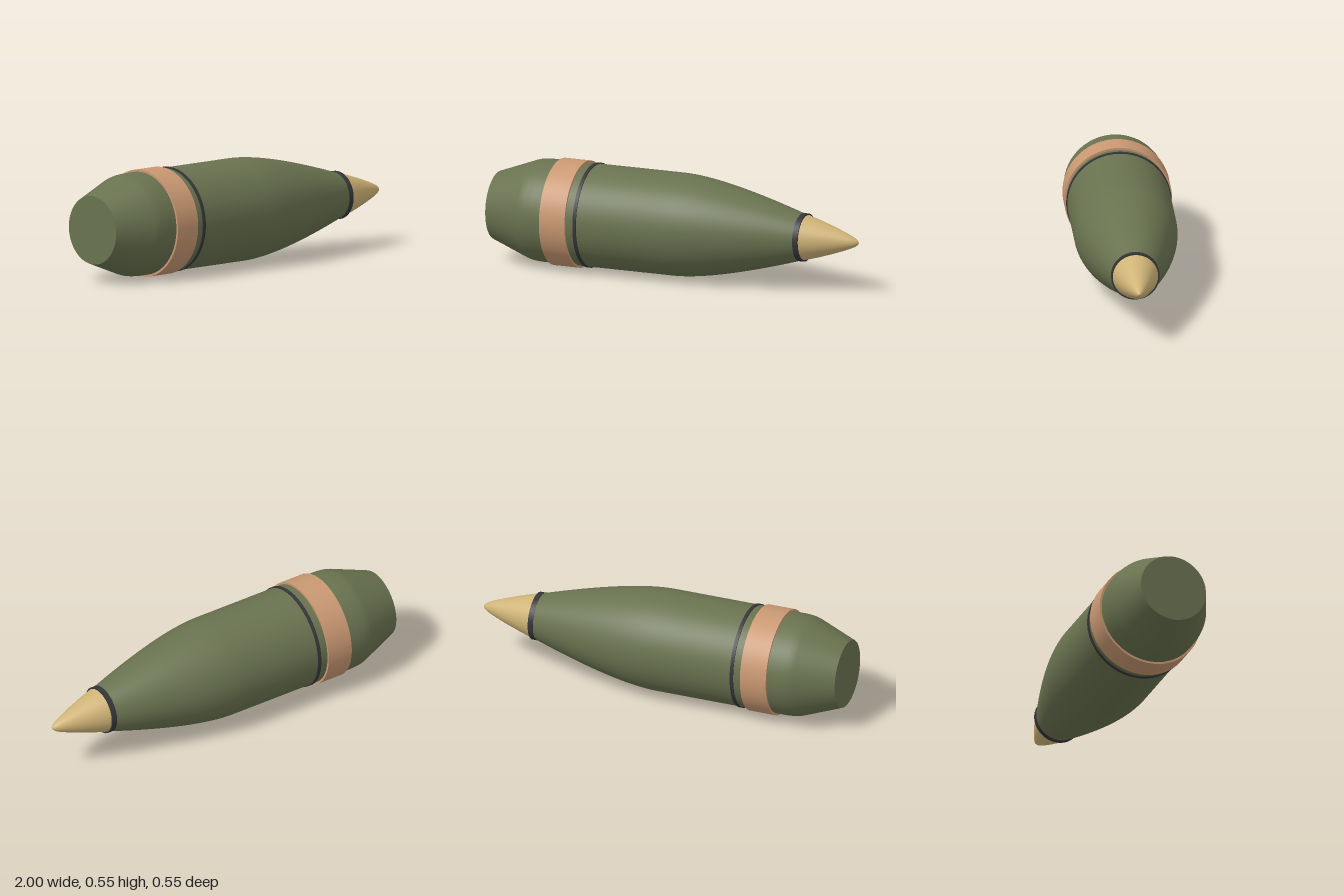
import * as THREE from 'three';

const SEGMENTS = 96;
const AXIS_HEIGHT = 0.276;

export function createModel() {
  const model = new THREE.Group();
  model.name = 'shell';

  const paint = (name, color) => {
    const m = new THREE.MeshStandardMaterial({ color });
    m.name = name;
    return m;
  };
  const olive = paint('olive green', 0x69724f);
  const copper = paint('copper', 0xc99872);
  const brass = paint('brass', 0xcfb377);
  const dark = paint('dark steel', 0x36363a);

  // Turns a profile of [x, radius] points about the long axis
  const turn = (name, profile, material, parent = model) => {
    const points = profile.map(([x, r]) => new THREE.Vector2(r, x));
    const mesh = new THREE.Mesh(new THREE.LatheGeometry(points, SEGMENTS), material);
    mesh.geometry.rotateZ(-Math.PI / 2);
    mesh.name = name;
    parent.add(mesh);
  };

  // Raised ring with crisp edges: a wall and two end faces
  const ring = (name, x0, x1, radius, inner, material) => {
    const group = new THREE.Group();
    group.name = name;
    turn(name + 'Rear', [[x0, inner], [x0, radius]], material, group);
    turn(name + 'Wall', [[x0, radius], [x1, radius]], material, group);
    turn(name + 'Front', [[x1, radius], [x1, inner]], material, group);
    model.add(group);
  };

  // Body: tapered tail, straight middle and curved forward section
  const ogive = new THREE.QuadraticBezierCurve(
    new THREE.Vector2(0, 0.265),
    new THREE.Vector2(0.22, 0.265),
    new THREE.Vector2(0.7, 0.117)
  ).getPoints(24).map((p) => [p.x, p.y]);
  turn('base', [[-1, 0], [-1, 0.177]], olive);
  turn('tail', [[-1, 0.177], [-0.9, 0.215], [-0.8, 0.253], [-0.78, 0.259], [-0.755, 0.263], [-0.72, 0.265]], olive);
  turn('body', [[-0.72, 0.265], [-0.36, 0.265], ...ogive], olive);

  // Wide driving band and the two narrow dark rings
  ring('drivingBand', -0.66, -0.518, 0.276, 0.26, copper);
  ring('bodyRing', -0.477, -0.459, 0.27, 0.26, dark);
  ring('noseRing', 0.682, 0.71, 0.124, 0.1, dark);

  // Nose fuze with a rounded tip
  turn('nose', [
    [0.7, 0.119], [0.78, 0.096], [0.86, 0.07], [0.92, 0.048], [0.955, 0.034],
    [0.978, 0.023], [0.99, 0.014], [0.997, 0.007], [1, 0]
  ], brass);

  model.children.forEach((part) => { part.position.y = AXIS_HEIGHT; });
  return model;
}
